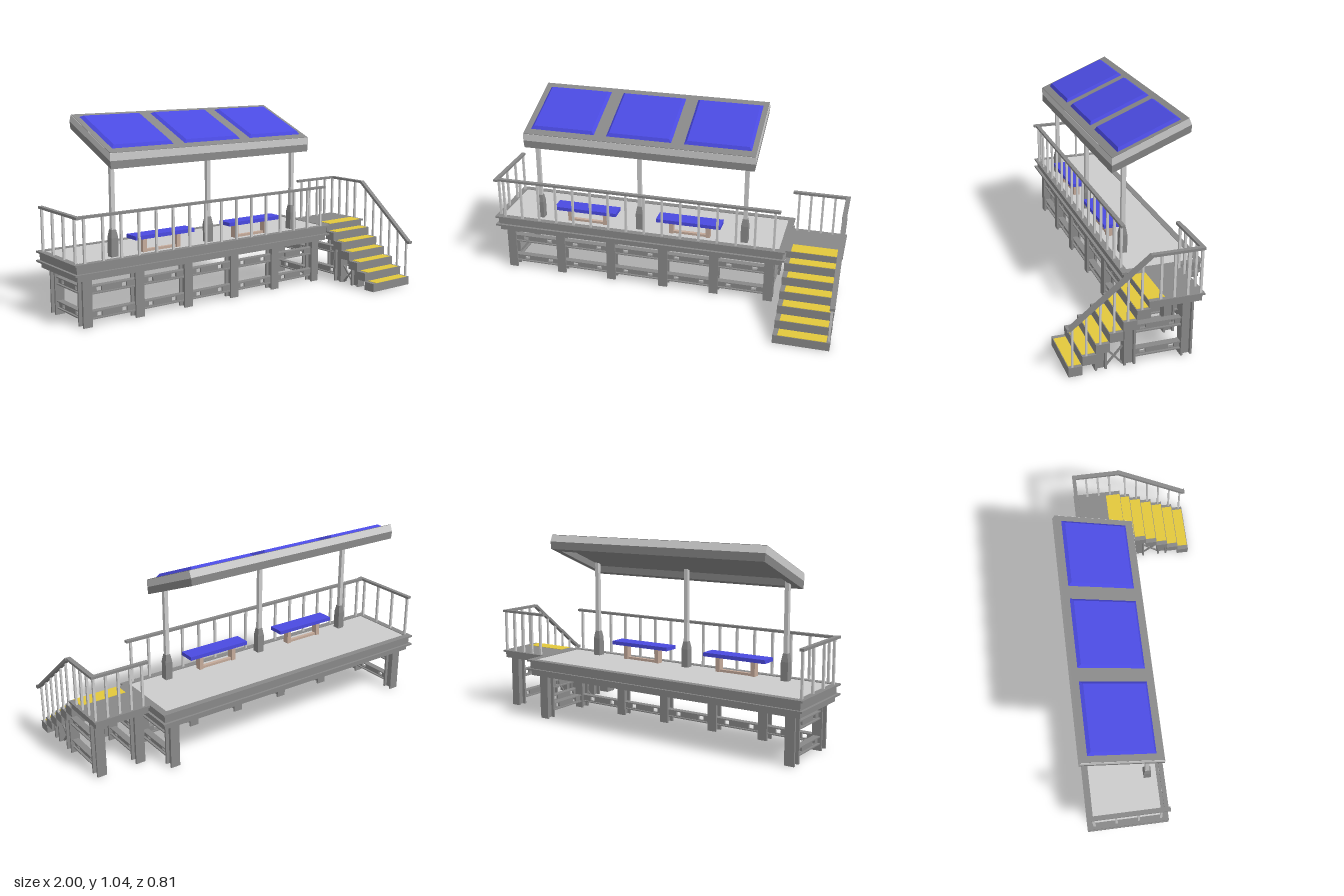
import * as THREE from 'three';

const mat = (color) => new THREE.MeshStandardMaterial({ color, flatShading: true });
const grey = mat(0xcccccc), steel = mat(0x888888), blue = mat(0x4a4ae0), yellow = mat(0xe2c83c), tan = mat(0xc4aa9a);

export function createModel() {
  const model = new THREE.Group();

  const add = (name, geo, material, parent) => {
    const mesh = new THREE.Mesh(geo, material);
    mesh.name = name;
    parent.add(mesh);
    return mesh;
  };
  const group = (name) => {
    const g = new THREE.Group();
    g.name = name;
    model.add(g);
    return g;
  };
  // Box given by its limits
  const box = (name, x0, x1, y0, y1, z0, z1, material, parent) => {
    const m = add(name, new THREE.BoxGeometry(x1 - x0, y1 - y0, z1 - z0), material, parent);
    m.position.set((x0 + x1) / 2, (y0 + y1) / 2, (z0 + z1) / 2);
  };
  // Slim square upright
  const post = (name, x, z, y0, y1, w, parent) =>
    box(name, x - w / 2, x + w / 2, y0, y1, z - w / 2, z + w / 2, grey, parent);
  const rectPath = (path, x0, x1, y0, y1) =>
    path.moveTo(x0, y0).lineTo(x1, y0).lineTo(x1, y1).lineTo(x0, y1).closePath();

  // Rectangular ring lying flat, w wide
  const frame = (name, x0, x1, z0, z1, y0, y1, w, parent) => {
    const s = rectPath(new THREE.Shape(), x0, x1, -z1, -z0);
    s.holes.push(rectPath(new THREE.Path(), x0 + w, x1 - w, -z1 + w, -z0 - w));
    const geo = new THREE.ExtrudeGeometry(s, { depth: y1 - y0, bevelEnabled: false });
    geo.rotateX(-Math.PI / 2).translate(0, y0, 0);
    add(name, geo, steel, parent);
  };
  // Four-sided shell through rings of [half width, front z, front y, back z, back y], top to bottom
  const loft = (name, cx, rings, material, parent) => {
    const pos = [];
    const pts = rings.map(([h, zf, yf, zb, yb]) =>
      [[cx + h, yf, zf], [cx + h, yb, zb], [cx - h, yb, zb], [cx - h, yf, zf]]);
    const quad = (a, b, c, d) => pos.push(...a, ...b, ...c, ...a, ...c, ...d);
    quad(...pts[0]);
    for (let i = 0; i + 1 < pts.length; i++)
      for (let k = 0; k < 4; k++) {
        const n = (k + 1) % 4;
        quad(pts[i][k], pts[i + 1][k], pts[i + 1][n], pts[i][n]);
      }
    quad(...pts[pts.length - 1].slice().reverse());
    const geo = new THREE.BufferGeometry();
    geo.setAttribute('position', new THREE.Float32BufferAttribute(pos, 3));
    geo.computeVertexNormals();
    add(name, geo, material, parent);
  };

  // Platform: deck and stepped edge beams
  const platform = group('platform');
  box('deckPanel', -0.97, 0.66, 0.27, 0.332, -0.38, 0.005, grey, platform);
  frame('topFlange', -1, 0.69, -0.405, 0.03, 0.325, 0.335, 0.035, platform);
  frame('edgeBeam', -0.985, 0.677, -0.393, 0.015, 0.285, 0.325, 0.03, platform);
  frame('middleFlange', -1, 0.69, -0.405, 0.03, 0.275, 0.285, 0.05, platform);
  box('lowerBeam', -0.98, 0.675, 0.245, 0.275, -0.385, 0.01, steel, platform);

  // Substructure: H-section columns and beams with square windows
  const frameWork = group('substructure');
  const column = (x, z, h) => {
    for (const s of [-1, 1])
      box('columnFlange', x - 0.026, x + 0.026, 0, h, z + s * 0.024 - 0.005, z + s * 0.024 + 0.005, steel, frameWork);
    box('columnWeb', x - 0.008, x + 0.008, 0, h, z - 0.02, z + 0.02, steel, frameWork);
  };
  const beam = (x, z, len, alongZ) => {
    for (const y of [0.055, 0.185]) {
      const g = new THREE.Group();
      g.name = 'windowBeam';
      g.position.set(x, y, z);
      if (alongZ) g.rotation.y = Math.PI / 2;
      frameWork.add(g);
      const s = rectPath(new THREE.Shape(), -len / 2, len / 2, -0.02, 0.02);
      for (const m of [-0.073, 0.073])
        s.holes.push(rectPath(new THREE.Path(), m - 0.015, m + 0.015, -0.011, 0.011));
      const geo = new THREE.ExtrudeGeometry(s, { depth: 0.012, bevelEnabled: false });
      add('beamWeb', geo.translate(0, 0, -0.006), steel, g);
      for (const c of [-1, 1])
        box('beamFlange', -len / 2, len / 2, c * 0.018 - 0.003, c * 0.018 + 0.003, -0.018, 0.018, steel, g);
    }
  };
  const columnX = [-0.92, -0.615, -0.31, 0, 0.295, 0.605];
  columnX.forEach((x, i) => {
    column(x, -0.032, 0.25);
    if (i) beam((x + columnX[i - 1]) / 2, -0.032, x - columnX[i - 1] - 0.016, false);
  });
  for (const x of [-0.92, 0.605]) {
    column(x, -0.335, 0.25);
    beam(x, -0.183, 0.25, true);
  }
  // Stair and landing supports
  for (const x of [0.73, 0.95]) {
    column(x, -0.2, 0.3);
    column(x, 0.09, 0.197);
    column(x, 0.232, 0.1);
    beam(x, -0.055, 0.235, true);
    for (const s of [-1, 1]) {
      const b = add('crossBrace', new THREE.BoxGeometry(0.008, 0.009, 0.13), steel, frameWork);
      b.position.set(x, 0.05, 0.161);
      b.rotation.x = s * 0.85;
    }
  }

  // Landing and steps with coloured treads
  const stairs = group('stairs');
  box('landing', 0.695, 0.985, 0.292, 0.325, -0.265, 0, steel, stairs);
  box('landingPlate', 0.685, 0.996, 0.325, 0.335, -0.275, 0.005, steel, stairs);
  box('landingTread', 0.72, 0.972, 0.334, 0.337, -0.08, 0.003, yellow, stairs);
  for (let i = 0; i < 6; i++) {
    const z = 0.395 - i * 0.0665, y = i * 0.049;
    box('step', 0.694, 0.99, y, y + 0.048, z - 0.068, z, steel, stairs);
    box('tread', 0.72, 0.972, y + 0.047, y + 0.05, z - 0.065, z - 0.003, yellow, stairs);
  }

  // Railings
  const railings = group('railings');
  const railTop = [0.56, 0.573];
  const railPost = (x, z) => post('railPost', x, z, 0.33, 0.562, 0.012, railings);
  box('frontRail', -0.99, 0.655, ...railTop, 0.003, 0.025, steel, railings);
  for (let i = 0; i < 16; i++) railPost(-0.94 + i * 0.1045, 0.014);
  box('endRail', -0.99, -0.967, ...railTop, -0.38, 0.035, steel, railings);
  for (let i = 0; i < 4; i++) railPost(-0.978, -0.365 + i * 0.118);
  box('landingBackRail', 0.685, 0.996, ...railTop, -0.268, -0.247, steel, railings);
  for (let i = 0; i < 5; i++) railPost(0.72 + i * 0.0655, -0.257);
  box('landingSideRail', 0.972, 0.996, ...railTop, -0.268, 0, steel, railings);
  for (const z of [-0.19, -0.122, -0.055]) railPost(0.983, z);
  const handrail = add('stairRail', new THREE.BoxGeometry(0.026, 0.015, 0.51), steel, railings);
  handrail.position.set(0.987, 0.409, 0.195);
  handrail.rotation.x = Math.atan2(0.315, 0.395);
  box('stairRailEnd', 0.974, 1, 0.246, 0.261, 0.385, 0.405, steel, railings);
  for (let i = 0; i < 6; i++) {
    const z = 0.375 - i * 0.0675;
    post('stairRailPost', 0.983, z, 0.04 + i * 0.049, 0.251 + (0.395 - z) * 0.797, 0.01, railings);
  }

  // Canopy posts with wide tapered feet
  const shelter = group('shelter');
  for (const x of [-0.74, -0.145, 0.455]) {
    post('canopyPost', x, -0.055, 0.33, 0.865, 0.022, shelter);
    loft('postFoot', x, [
      [0.013, -0.042, 0.472, -0.068, 0.472],
      [0.02, -0.035, 0.43, -0.075, 0.43],
      [0.02, -0.035, 0.33, -0.075, 0.33],
    ], steel, shelter);
  }
  // Tilted canopy: dark roof sheet, light upper band, dark hollow tray below
  loft('roofSheet', -0.14, [
    [0.648, 0.024, 0.872, -0.375, 1.036],
    [0.648, 0.024, 0.868, -0.375, 1.032],
  ], steel, shelter);
  loft('canopyBand', -0.14, [
    [0.65, 0.025, 0.869, -0.375, 1.034],
    [0.65, 0.025, 0.83, -0.39, 1.0],
  ], grey, shelter);
  loft('canopyTray', -0.14, [
    [0.65, 0.025, 0.83, -0.39, 1.0],
    [0.646, 0.025, 0.79, -0.39, 0.96],
    [0.605, -0.012, 0.805, -0.352, 0.945],
    [0.605, -0.012, 0.84, -0.352, 0.98],
  ], steel, shelter);
  for (const x of [-0.573, -0.138, 0.297])
    loft('roofPanel', x, [
      [0.168, -0.022, 0.906, -0.325, 1.031],
      [0.185, -0.012, 0.884, -0.347, 1.022],
    ], blue, shelter);

  // Benches
  for (const x of [-0.455, 0.145]) {
    const bench = group('bench');
    box('seat', x - 0.183, x + 0.183, 0.41, 0.43, -0.09, 0, blue, bench);
    for (const s of [-1, 1]) {
      const lx = x + s * 0.105;
      box('benchLeg', lx - 0.012, lx + 0.012, 0.33, 0.41, -0.073, -0.037, tan, bench);
    }
    box('benchFootBar', x - 0.105, x + 0.105, 0.331, 0.345, -0.065, -0.045, tan, bench);
  }
  return model;
}
